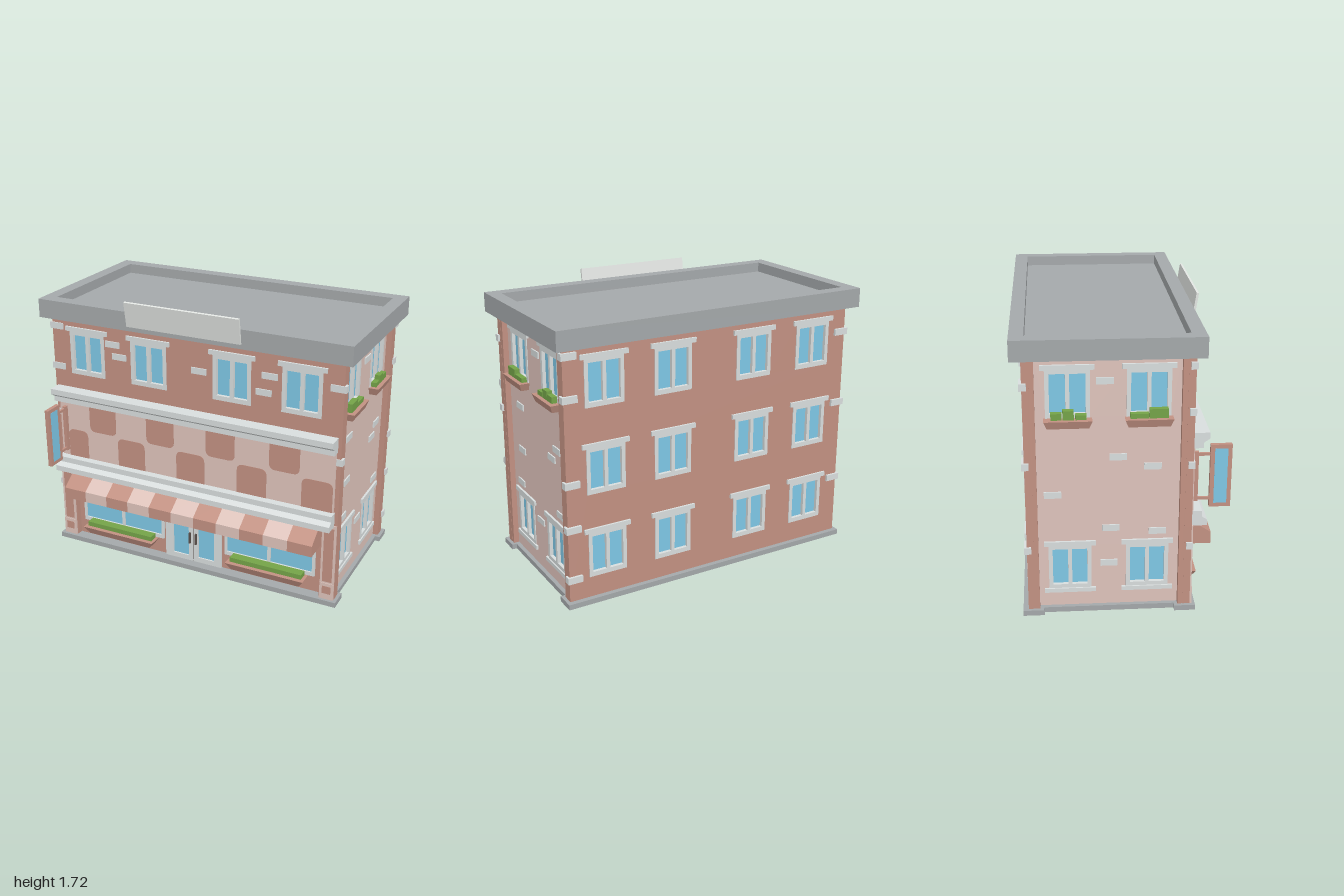
import * as THREE from 'three';

const mat = (name, color) => { const m = new THREE.MeshStandardMaterial({ color }); m.name = name; return m; };
const M = {
  brick: mat('brick', 0xc29182), pale: mat('pale plaster', 0xdec3bb), trim: mat('light stone', 0xd8dddd),
  roof: mat('roof grey', 0xa4a8aa), dark: mat('dark handle', 0x5a504c), glass: mat('glass', 0x7ec7e5),
  leaf: mat('leaves', 0x74a348), board: mat('board grey', 0xe2e5e2),
};
const SKIN = 0.04; // thickness of the outer walls around the core

function add(parent, name, geo, m) {
  const mesh = new THREE.Mesh(geo, m);
  mesh.name = name;
  parent.add(mesh);
  return mesh;
}
// box given by its limits on each axis
function box(parent, name, m, x0, x1, y0, y1, z0, z1) {
  const g = new THREE.BoxGeometry(x1 - x0, y1 - y0, z1 - z0);
  g.translate((x0 + x1) / 2, (y0 + y1) / 2, (z0 + z1) / 2);
  return add(parent, name, g, m);
}
const rect = (C, x0, x1, y0, y1) => new C([[x0, y0], [x1, y0], [x1, y1], [x0, y1]].map(p => new THREE.Vector2(...p)));
const extrude = (s, depth) => new THREE.ExtrudeGeometry(s, { depth, bevelEnabled: false, curveSegments: 5 });

// profile of [z, y] points swept along x
function sweepX(parent, name, m, pts, x0, x1) {
  const g = extrude(new THREE.Shape(pts.map(([z, y]) => new THREE.Vector2(-z, y))), x1 - x0);
  g.rotateY(Math.PI / 2).translate(x0, 0, 0);
  return add(parent, name, g, m);
}

// frame from z0 to z1 with glazed openings [x0, x1, y0, y1]
function glazed(parent, name, x0, x1, y0, y1, holes, z0, z1) {
  const s = rect(THREE.Shape, x0, x1, y0, y1);
  holes.forEach(h => s.holes.push(rect(THREE.Path, ...h)));
  add(parent, name + 'Frame', extrude(s, z1 - z0).translate(0, 0, z0), M.trim);
  holes.forEach(h => box(parent, name + 'Glass', M.glass, ...h, z0, z0 + 0.004));
}

// two-pane window with recessed glass, lintel and optional sill
function sashWindow(parent, x, y, sill) {
  const w = new THREE.Group();
  w.name = 'window';
  w.position.set(x, y, 0);
  parent.add(w);
  glazed(w, 'window', -0.12, 0.12, 0, 0.28, [[-0.097, -0.011, 0.028, 0.252], [0.011, 0.097, 0.028, 0.252]], -0.02, 0.005);
  box(w, 'lintel', M.trim, -0.145, 0.145, 0.275, 0.303, 0, 0.013);
  if (sill) box(w, 'sill', M.trim, -0.145, 0.145, -0.02, 0.005, 0, 0.013);
}

// outer wall pierced by windows listed as [x, y, sill]
function piercedWall(parent, m, x0, x1, y0, y1, windows) {
  const s = rect(THREE.Shape, x0, x1, y0, y1);
  windows.forEach(([x, y]) => s.holes.push(rect(THREE.Path, x - 0.115, x + 0.115, y + 0.005, y + 0.275)));
  add(parent, 'wallFace', extrude(s, SKIN).translate(0, 0, -SKIN), m);
  windows.forEach(([x, y, sill]) => sashWindow(parent, x, y, sill));
}

// planter tapering towards its base
function planter(parent, x, y, w, h, d) {
  const g = new THREE.BoxGeometry(w, h, d).translate(0, h / 2, d / 2);
  const p = g.attributes.position;
  for (let i = 0; i < p.count; i++) if (p.getY(i) < h / 2) p.setXYZ(i, p.getX(i) * 0.87, 0, p.getZ(i) * 0.75);
  g.computeVertexNormals();
  add(parent, 'planter', g, M.brick).position.set(x, y, 0);
}

// wall space whose local z points outward
function wall(parent, name, angle, x, z) {
  const g = new THREE.Group();
  g.name = name;
  g.rotation.y = angle;
  g.position.set(x, 0, z);
  parent.add(g);
  return g;
}
const bricks = (parent, list) => list.forEach(([x, y]) =>
  box(parent, 'stoneBrick', M.trim, x - 0.048, x + 0.048, y - 0.019, y + 0.019, 0, 0.008));

// checker tile with two rounded corners, at the bottom or at the top
function tile(parent, x0, x1, y0, y1, roundTop) {
  const r = 0.04, s = new THREE.Shape();
  const [a, b] = roundTop ? [y0, y1] : [y1, y0], k = roundTop ? -r : r;
  s.moveTo(x0, a).lineTo(x1, a).lineTo(x1, b + k).quadraticCurveTo(x1, b, x1 - r, b);
  s.lineTo(x0 + r, b).quadraticCurveTo(x0, b, x0, b + k);
  add(parent, 'checkerTile', extrude(s, 0.003), M.brick).position.z = 0.008;
}

export function createModel() {
  const model = new THREE.Group();
  model.name = 'shopBuilding';
  const cols = [-0.7, -0.275, 0.27, 0.7];

  // core, corner piers and base
  box(model, 'core', M.brick, -0.87, 0.87, 0.03, 1.54, -0.5, 0.34);
  box(model, 'base', M.roof, -0.935, 0.935, 0, 0.032, -0.57, 0.41);
  for (const s of [-1, 1]) {
    const span = (a, b) => s < 0 ? [-b, -a] : [a, b];
    box(model, 'frontPier', M.brick, ...span(0.85, 0.944), 0.03, 1.54, 0.31, 0.375);
    box(model, 'shopPier', M.brick, ...span(0.85, 0.945), 0.03, 0.525, 0.34, 0.38);
    box(model, 'backPier', M.brick, ...span(0.85, 0.944), 0.03, 1.54, -0.535, -0.475);
    box(model, 'baseCorner', M.roof, ...span(0.9, 0.965), 0, 0.032, 0.29, 0.41);
    box(model, 'baseCorner', M.roof, ...span(0.9, 0.965), 0, 0.032, -0.57, -0.45);
  }

  // corner stones
  const corner = (s, z0, z1, ys) => ys.forEach(y =>
    box(model, 'cornerStone', M.trim, Math.min(s * 0.866, s * 0.958), Math.max(s * 0.866, s * 0.958), y - 0.02, y + 0.02, z0, z1));
  corner(1, 0.35, 0.387, [1.375, 0.935]);
  corner(-1, 0.35, 0.387, [1.475, 1.215, 0.905, 0.41]);
  corner(1, -0.555, -0.515, [1.485, 1.245, 0.75, 0.48, 0.17]);
  corner(-1, -0.555, -0.515, [1.375, 0.92, 0.41]);

  // roof with raised rim
  const rim = rect(THREE.Shape, -1, 1, -0.43, 0.6);
  rim.holes.push(rect(THREE.Path, -0.92, 0.92, -0.35, 0.52));
  add(model, 'roofRim', extrude(rim, 0.115).rotateX(-Math.PI / 2).translate(0, 1.53, 0), M.roof);
  box(model, 'roofDeck', M.roof, -0.93, 0.93, 1.531, 1.585, -0.53, 0.36);
  sweepX(model, 'roofBoard', M.board, [[0.43, 1.56], [0.443, 1.56], [0.467, 1.712], [0.453, 1.715]], -0.38, 0.35);

  // back wall
  const back = wall(model, 'backWall', Math.PI, 0, -0.54);
  piercedWall(back, M.brick, -0.945, 0.945, 0.03, 1.54, [0.16, 0.67, 1.18].flatMap(y => cols.map(x => [-x, y])));

  // side walls
  for (const s of [1, -1]) {
    const side = wall(model, s > 0 ? 'leftWall' : 'rightWall', s * Math.PI / 2, s * 0.91, 0);
    const [p0, p1] = s > 0 ? [-0.31, 0.475] : [-0.475, 0.31];
    const xs = [-s * 0.135, s * 0.3];
    piercedWall(side, M.pale, p0, p1, 0.032, 1.53, xs.flatMap(x => [[x, 1.18], [x, 0.14, true]]));
    xs.forEach(x => planter(side, x, 1.138, 0.26, 0.045, 0.062));
    const plants = [[0.187, 0.1, 1.235], [0.083, 0.1, 1.21], [-0.23, 0.06, 1.21], [-0.298, 0.06, 1.235], [-0.362, 0.06, 1.22]];
    for (const [z, w, top] of plants) box(side, 'plant', M.leaf, -s * z - w / 2, -s * z + w / 2, 1.17, top, 0.004, 0.037);
    const spots = s > 0
      ? [[-0.105, 1.39], [0.16, 0.998], [-0.355, 0.89], [-0.282, 0.82], [0.16, 0.717], [0.195, 0.493], [-0.38, 0.497], [-0.087, 0.347]]
      : [[-0.1, 1.39], [-0.03, 0.95], [0.16, 0.89], [-0.39, 0.73], [-0.07, 0.52], [0.19, 0.493], [-0.08, 0.3]];
    bricks(side, spots.map(([z, y]) => [-s * z, y]));
  }

  // front wall above the shop
  const front = wall(model, 'frontWall', 0, 0, 0.38);
  piercedWall(front, M.brick, -0.945, 0.945, 0.525, 1.54, cols.map(x => [x, 1.18]));
  bricks(front, [[-0.52, 1.41], [-0.475, 1.337], [0.06, 1.337], [0.505, 1.38], [0.47, 1.277]]);

  // checkered fascia between two cornices
  box(front, 'fascia', M.pale, -0.92, 0.92, 0.6, 1.0, 0, 0.009);
  for (const x of [-0.61, -0.205, 0.2, 0.61]) tile(front, x - 0.095, x + 0.095, 0.81, 0.995, false);
  for (const x of [-0.41, 0, 0.405, 0.815]) tile(front, x - 0.095, x + 0.095, 0.61, 0.8, true);
  tile(front, -0.865, -0.725, 0.61, 0.8, true);
  sweepX(model, 'upperCornice', M.trim, [[0.37, 0.995], [0.435, 0.995], [0.435, 1.028], [0.467, 1.05], [0.467, 1.085], [0.37, 1.085]], -0.93, 0.925);
  sweepX(model, 'lowerCornice', M.trim, [[0.37, 0.525], [0.467, 0.525], [0.467, 0.56], [0.437, 0.58], [0.437, 0.615], [0.37, 0.615]], -0.93, 0.925);

  // striped awning
  const n = 11, w = 1.685 / n;
  for (let i = 0; i < n; i++) {
    sweepX(model, 'awningStripe', i % 2 ? M.pale : M.brick,
      [[0.34, 0.365], [0.505, 0.365], [0.505, 0.435], [0.375, 0.522], [0.34, 0.522]], -0.845 + i * w, -0.845 + (i + 1) * w);
  }

  // recessed shopfront: windows, planters and double door
  const shop = wall(model, 'shopfront', 0, 0, 0.34);
  for (const s of [-1, 1]) {
    const c = s * 0.511;
    glazed(shop, 'shopWindow', c - 0.297, c + 0.297, 0.14, 0.37,
      [[c - 0.28, c - 0.01, 0.165, 0.365], [c + 0.01, c + 0.28, 0.165, 0.365]], 0, 0.014);
    planter(shop, c, 0.085, 0.51, 0.05, 0.1);
    box(shop, 'plant', M.leaf, c - 0.235, c + 0.235, 0.125, 0.165, 0.015, 0.072);
  }
  glazed(shop, 'door', -0.2, 0.19, 0.032, 0.366, [[-0.145, -0.035, 0.065, 0.325], [0.03, 0.14, 0.065, 0.325]], 0, 0.014);
  box(shop, 'doorSeam', M.dark, -0.005, -0.002, 0.035, 0.36, 0.013, 0.015);
  for (const x of [-0.025, 0.017]) box(shop, 'doorHandle', M.dark, x - 0.005, x + 0.005, 0.16, 0.235, 0.014, 0.026);

  // pilasters with inset panels
  for (const s of [-1, 1]) {
    const p = s * 0.9;
    box(front, 'pilaster', M.pale, p - 0.044, p + 0.044, 0.03, 0.53, 0, 0.008);
    box(front, 'pilasterFoot', M.pale, p - 0.044, p + 0.044, 0.03, 0.14, 0, 0.012);
    box(front, 'pilasterInset', M.brick, p - 0.03, p + 0.03, 0.15, 0.51, 0, 0.01);
    box(front, 'pilasterFootInset', M.brick, p - 0.027, p + 0.027, 0.07, 0.12, 0, 0.014);
  }

  // hanging sign
  const sign = new THREE.Group();
  sign.name = 'hangingSign';
  model.add(sign);
  box(sign, 'signBoard', M.brick, -0.89, -0.865, 0.62, 0.995, 0.48, 0.6);
  box(sign, 'signPanel', M.glass, -0.891, -0.864, 0.643, 0.972, 0.504, 0.577);
  box(sign, 'signBackPlate', M.brick, -0.888, -0.867, 0.655, 0.955, 0.385, 0.416);
  for (const y of [0.67, 0.937]) box(sign, 'signBracket', M.brick, -0.884, -0.871, y - 0.008, y + 0.008, 0.41, 0.485);

  return model;
}
